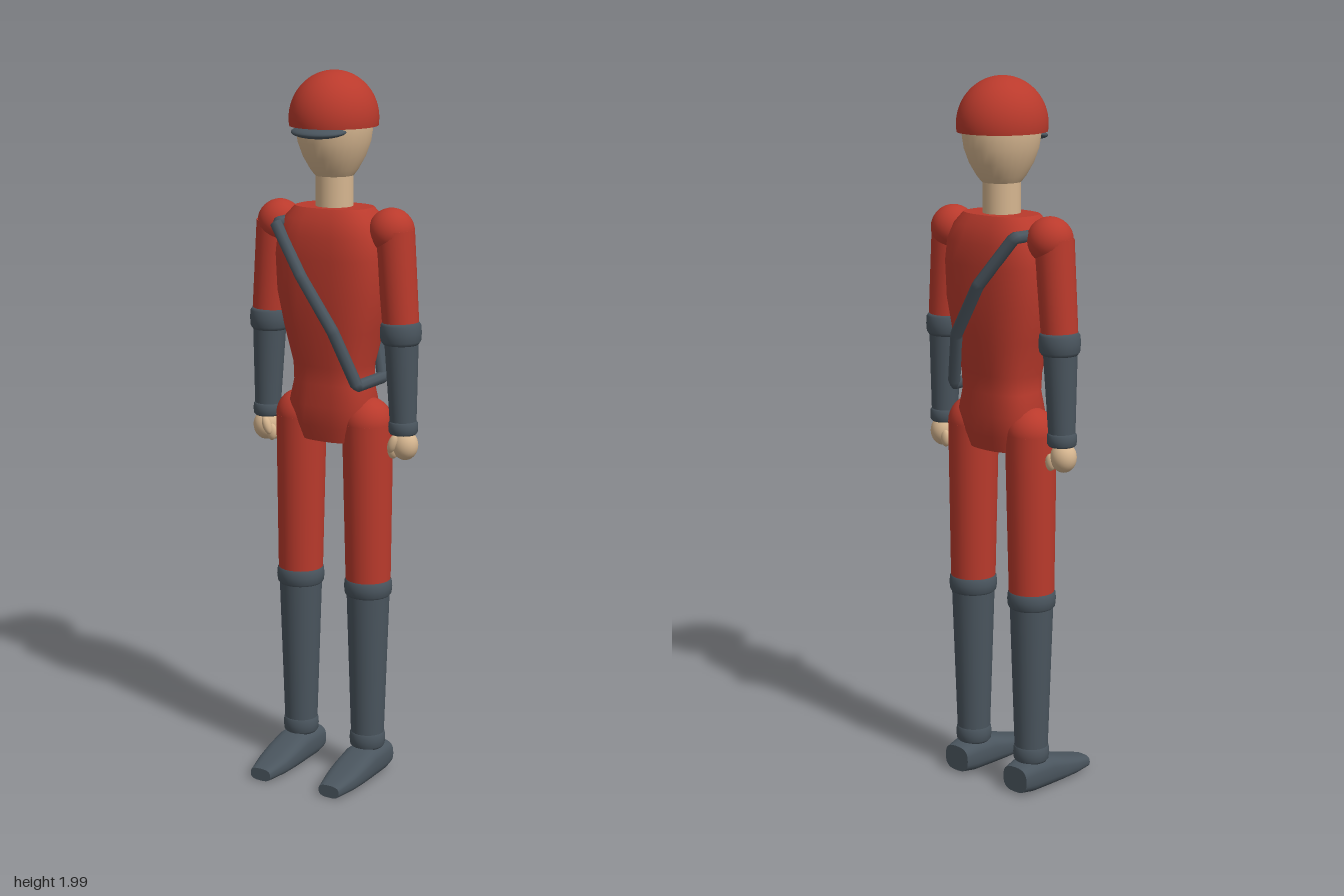
import * as THREE from 'three';

const red = new THREE.MeshStandardMaterial({ color: 0xba3a2c });
red.name = 'red suit';
const grey = new THREE.MeshStandardMaterial({ color: 0x4a555e });
grey.name = 'slate leather';
const skin = new THREE.MeshStandardMaterial({ color: 0xd6b690 });
skin.name = 'skin';

const Z = -0.04; // depth of the body axis

function add(parent, name, geo, mat, x = 0, y = 0, z = 0) {
  const m = new THREE.Mesh(geo, mat);
  m.name = name;
  m.position.set(x, y, z);
  parent.add(m);
  return m;
}

// Superellipse rings [y, halfX, centreZ, halfZ] skinned along y, with flat ends
function loft(rings, power = 2.5, n = 28) {
  const pos = [], idx = [];
  const ring = ([y, hx, cz, hz]) => {
    for (let j = 0; j < n; j++) {
      const t = (j / n) * Math.PI * 2, c = Math.cos(t), s = Math.sin(t);
      pos.push(Math.sign(c) * Math.abs(c) ** (2 / power) * hx, y,
        cz + Math.sign(s) * Math.abs(s) ** (2 / power) * hz);
    }
  };
  rings.forEach(ring);
  for (let i = 0; i < rings.length - 1; i++) {
    for (let j = 0; j < n; j++) {
      const a = i * n + j, b = i * n + (j + 1) % n;
      idx.push(a, a + n, b, b, a + n, b + n);
    }
  }
  for (const [r, top] of [[rings[0], false], [rings[rings.length - 1], true]]) {
    const base = pos.length / 3;
    ring(r);
    pos.push(0, r[0], r[2]);
    for (let j = 0; j < n; j++) {
      const a = base + j, b = base + (j + 1) % n;
      idx.push(base + n, top ? b : a, top ? a : b);
    }
  }
  const g = new THREE.BufferGeometry();
  g.setAttribute('position', new THREE.Float32BufferAttribute(pos, 3));
  g.setIndex(idx);
  g.computeVertexNormals();
  return g;
}

const ball = (rx, ry = rx, rz = rx) => new THREE.SphereGeometry(1, 24, 16).scale(rx, ry, rz);

// Tapered limb segment between two points
function limb(parent, name, mat, x0, y0, r0, x1, y1, r1) {
  const len = Math.hypot(x1 - x0, y1 - y0);
  const m = add(parent, name, new THREE.CylinderGeometry(r0, r1, len, 24), mat,
    (x0 + x1) / 2, (y0 + y1) / 2, Z);
  m.rotation.z = Math.atan2(x1 - x0, y0 - y1);
  return m;
}

// Rounded cuff around a limb
function cuff(parent, name, x, y, r, h) {
  const p = [[r * 0.86, -h / 2], [r * 0.97, -h * 0.35], [r, 0], [r * 0.97, h * 0.35], [r * 0.86, h / 2], [0, h / 2]];
  p.unshift([0, -h / 2]);
  add(parent, name, new THREE.LatheGeometry(p.map(q => new THREE.Vector2(...q)), 24), grey, x, y, Z);
}

function buildArm(side) {
  const g = new THREE.Group();
  g.name = side > 0 ? 'leftArm' : 'rightArm';
  add(g, 'shoulder', ball(0.063), red, side * 0.178, 1.578, Z - 0.003);
  limb(g, 'upperArm', red, side * 0.19, 1.58, 0.054, side * 0.211, 1.32, 0.05);
  cuff(g, 'elbowCuff', side * 0.211, 1.305, 0.057, 0.062);
  limb(g, 'forearm', grey, side * 0.213, 1.29, 0.047, side * 0.221, 1.04, 0.036);
  cuff(g, 'wristCuff', side * 0.221, 1.043, 0.041, 0.038);
  add(g, 'palm', ball(0.037, 0.042, 0.035), skin, side * 0.227, 0.993, Z);
  // curled fingers and thumb on the inner side
  for (let i = 0; i < 3; i++) {
    add(g, 'finger', ball(0.016, 0.024, 0.012), skin, side * 0.198, 0.978, Z - 0.02 + i * 0.018);
  }
  const thumb = add(g, 'thumb', ball(0.013, 0.028, 0.013), skin, side * 0.205, 1.0, Z + 0.03);
  thumb.rotation.z = side * -0.35;
  return g;
}

function buildLeg(side) {
  const g = new THREE.Group();
  g.name = side > 0 ? 'leftLeg' : 'rightLeg';
  add(g, 'hip', ball(0.071), red, side * 0.108, 1.042, Z);
  limb(g, 'thigh', red, side * 0.108, 1.04, 0.071, side * 0.112, 0.57, 0.063);
  cuff(g, 'kneeCuff', side * 0.112, 0.57, 0.068, 0.055);
  limb(g, 'bootShaft', grey, side * 0.112, 0.56, 0.061, side * 0.112, 0.13, 0.047);
  cuff(g, 'ankle', side * 0.112, 0.115, 0.051, 0.05);
  // foot skinned from heel to toe, then laid forward
  const foot = loft([
    [-0.11, 0.044, -0.051, 0.037], [-0.07, 0.051, -0.053, 0.045], [0, 0.053, -0.052, 0.045],
    [0.06, 0.052, -0.043, 0.036], [0.11, 0.047, -0.035, 0.028], [0.175, 0.033, -0.026, 0.018],
  ], 2.8).rotateX(Math.PI / 2);
  add(g, 'foot', foot, grey, side * 0.114, -0.001, 0);
  return g;
}

export function createModel() {
  const model = new THREE.Group();
  model.name = 'figure';

  // Torso
  add(model, 'torso', loft([
    [0.987, 0.088, Z, 0.068], [1.03, 0.108, Z, 0.078], [1.09, 0.126, Z, 0.088],
    [1.15, 0.112, Z, 0.082], [1.2, 0.112, Z, 0.088], [1.3, 0.138, Z, 0.103],
    [1.4, 0.16, Z, 0.11], [1.5, 0.165, Z, 0.112], [1.56, 0.158, Z, 0.108],
    [1.605, 0.137, Z, 0.096], [1.635, 0.11, Z, 0.076],
  ], 2.7), red);

  // Diagonal strap: the front run, mirrored behind, closed at shoulder and waist
  const front = [[-0.13, 1.588, 0.052], [-0.03, 1.455, 0.085], [0.063, 1.31, 0.072], [0.115, 1.157, 0.03]]
    .map(p => new THREE.Vector3(...p));
  const back = front.map(p => new THREE.Vector3(p.x, p.y, 2 * Z - p.z)).reverse();
  const path = new THREE.CatmullRomCurve3([...front, ...back], true, 'catmullrom', 0);
  add(model, 'strap', new THREE.TubeGeometry(path, 120, 0.017, 8, true), grey);

  // Neck and head
  limb(model, 'neck', skin, 0, 1.75, 0.052, 0, 1.625, 0.052);
  add(model, 'head', loft([
    [1.718, 0.052, Z, 0.055], [1.735, 0.064, Z, 0.07], [1.77, 0.083, Z, 0.092],
    [1.81, 0.097, Z, 0.107], [1.855, 0.104, Z, 0.113], [1.89, 0.1, Z, 0.108],
  ], 2), skin);

  // Cap dome, its underside and the peak
  const dome = new THREE.SphereGeometry(1, 32, 20, 0, Math.PI * 2, 0, 1.728).scale(0.12, 0.128, 0.128);
  add(model, 'cap', dome, red, 0, 1.872, Z + 0.003);
  const under = new THREE.CircleGeometry(0.1185, 32).rotateX(Math.PI / 2).scale(1, 1, 1.066);
  add(model, 'capUnderside', under, red, 0, 1.852, Z + 0.003);
  const peak = add(model, 'capPeak', ball(0.082, 0.016, 0.055), grey, 0, 1.842, 0.04);
  peak.rotation.x = 0.15;

  for (const side of [-1, 1]) model.add(buildArm(side), buildLeg(side));
  return model;
}
